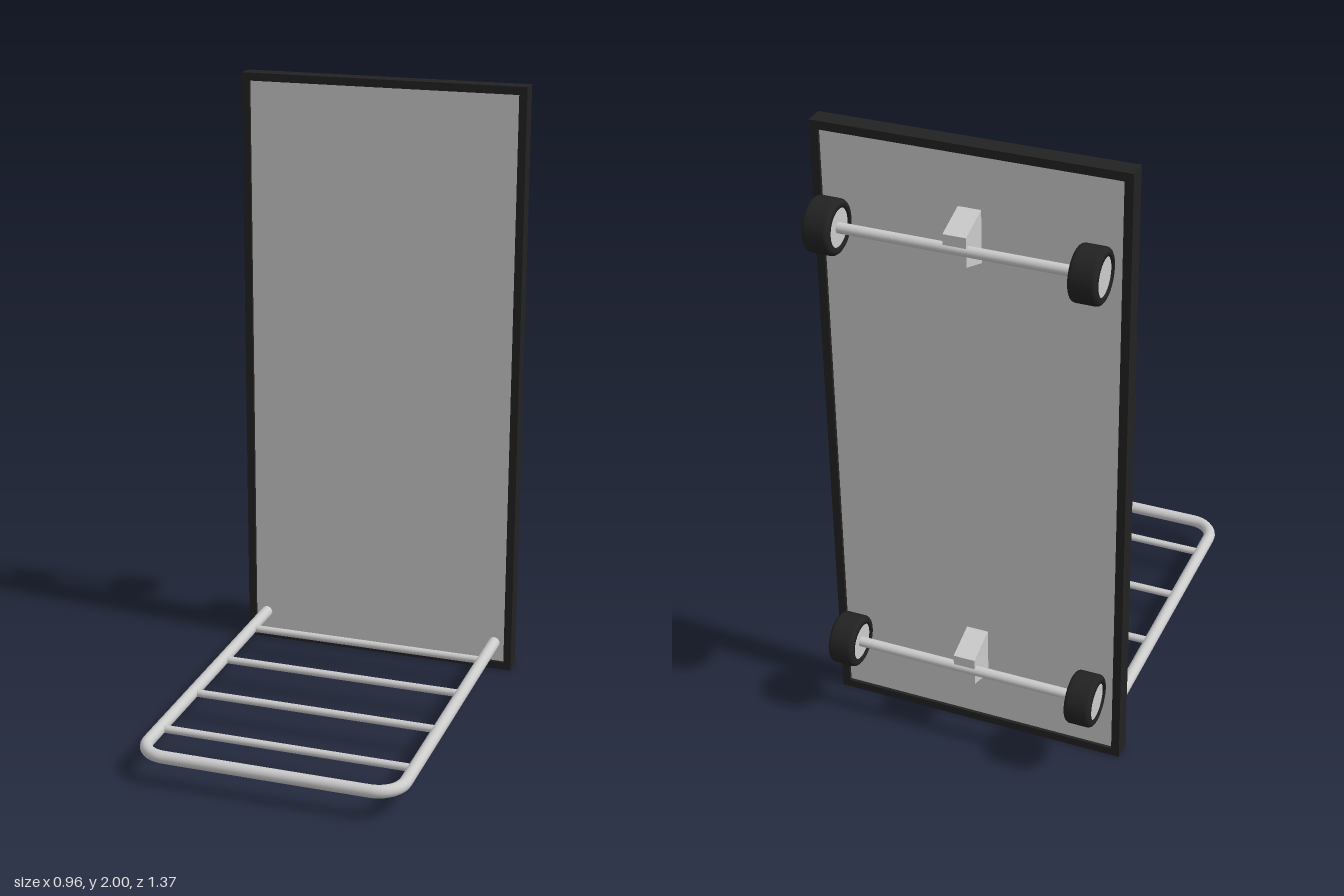
import * as THREE from 'three';

export function createModel() {
  const root = new THREE.Group();
  const grey = new THREE.MeshStandardMaterial({ color: 0xcccccc });
  const black = new THREE.MeshStandardMaterial({ color: 0x222222 });

  const add = (parent, name, geometry, material, x = 0, y = 0, z = 0) => {
    const mesh = new THREE.Mesh(geometry, material);
    mesh.name = name;
    mesh.position.set(x, y, z);
    parent.add(mesh);
    return mesh;
  };
  // Cylinder lying along x
  const bar = (radius, length, sides = 24) =>
    new THREE.CylinderGeometry(radius, radius, length, sides).rotateZ(Math.PI / 2);

  // Upright board: grey panel inside a dark rectangular frame
  const W = 0.478, EDGE = 0.026, BACK = -0.52, DEPTH = 0.062;
  const rect = (Type, x, y0, y1) => {
    const p = new Type();
    p.moveTo(-x, y0);
    p.lineTo(x, y0);
    p.lineTo(x, y1);
    p.lineTo(-x, y1);
    p.closePath();
    return p;
  };
  const frame = rect(THREE.Shape, W, 0, 2);
  frame.holes.push(rect(THREE.Path, W - EDGE, EDGE, 2 - EDGE));
  add(root, 'boardFrame',
    new THREE.ExtrudeGeometry(frame, { depth: DEPTH, bevelEnabled: false }), black, 0, 0, BACK);
  add(root, 'boardPanel',
    new THREE.BoxGeometry(2 * (W - EDGE), 2 - 2 * EDGE, DEPTH - 0.02), grey, 0, 1, BACK + DEPTH / 2);

  // Folding shelf: bent tube with cross rungs
  const shelf = new THREE.Group();
  shelf.name = 'shelf';
  shelf.position.y = 0.092;
  root.add(shelf);
  const X = 0.415, FRONT = 0.665, R = 0.085, START = -0.475;
  const v = (x, z) => new THREE.Vector3(x, 0, z);
  const path = new THREE.CurvePath();
  const bend = [];
  // Points around a rounded corner centred at (cx, FRONT - R)
  const corner = (cx, a0, a1) => {
    for (let i = 0; i <= 10; i++) {
      const a = a0 + (a1 - a0) * i / 10;
      bend.push(v(cx + R * Math.cos(a), FRONT - R + R * Math.sin(a)));
    }
  };
  corner(-X + R, Math.PI, Math.PI / 2);
  corner(X - R, Math.PI / 2, 0);
  const points = [v(-X, START), ...bend, v(X, START)];
  for (let i = 1; i < points.length; i++) path.add(new THREE.LineCurve3(points[i - 1], points[i]));
  add(shelf, 'shelfRail', new THREE.TubeGeometry(path, 240, 0.02, 16, false), grey);
  for (let i = 0; i < 4; i++) {
    add(shelf, 'shelfRung', bar(0.0125, 2 * X, 16), grey, 0, 0, -0.315 + i * 0.268);
  }

  // Tyre section revolved around the axle: rounded shoulders, open middle
  const RIM = 0.058, TYRE = 0.082, HALF = 0.042, ROUND = 0.014;
  const section = [new THREE.Vector2(RIM, -HALF)];
  for (const side of [-1, 1]) {
    for (let i = 0; i <= 4; i++) {
      const a = (side < 0 ? -Math.PI / 2 : 0) + i * Math.PI / 8;
      section.push(new THREE.Vector2(
        TYRE - ROUND + ROUND * Math.cos(a), side * (HALF - ROUND) + ROUND * Math.sin(a)));
    }
  }
  section.push(new THREE.Vector2(RIM, HALF), new THREE.Vector2(RIM, -HALF));
  const tyre = new THREE.LatheGeometry(section, 40).rotateZ(Math.PI / 2);
  const hub = bar(RIM + 0.001, 2 * HALF - 0.012, 40);

  // Tapered bracket profile, drawn in depth and height
  const profile = new THREE.Shape();
  profile.moveTo(0, -0.085);
  profile.lineTo(0.115, -0.045);
  profile.lineTo(0.115, 0.045);
  profile.lineTo(0, 0.085);
  profile.closePath();
  const bracket = new THREE.ExtrudeGeometry(profile, { depth: 0.07, bevelEnabled: false })
    .translate(0, 0, -0.035).rotateY(Math.PI / 2);

  // Two wheel sets on the back of the board
  for (const [name, y] of [['lowerWheels', 0.275], ['upperWheels', 1.728]]) {
    const truck = new THREE.Group();
    truck.name = name;
    truck.position.set(0, y, -0.606);
    root.add(truck);
    add(truck, 'bracket', bracket, grey, 0, 0, 0.105);
    add(truck, 'axle', bar(0.016, 0.76), grey);
    for (const side of [-1, 1]) {
      const wheel = new THREE.Group();
      wheel.name = side > 0 ? 'leftWheel' : 'rightWheel';
      wheel.position.x = side * 0.394;
      truck.add(wheel);
      add(wheel, 'tyre', tyre, black);
      add(wheel, 'hub', hub, grey);
    }
  }
  return root;
}
